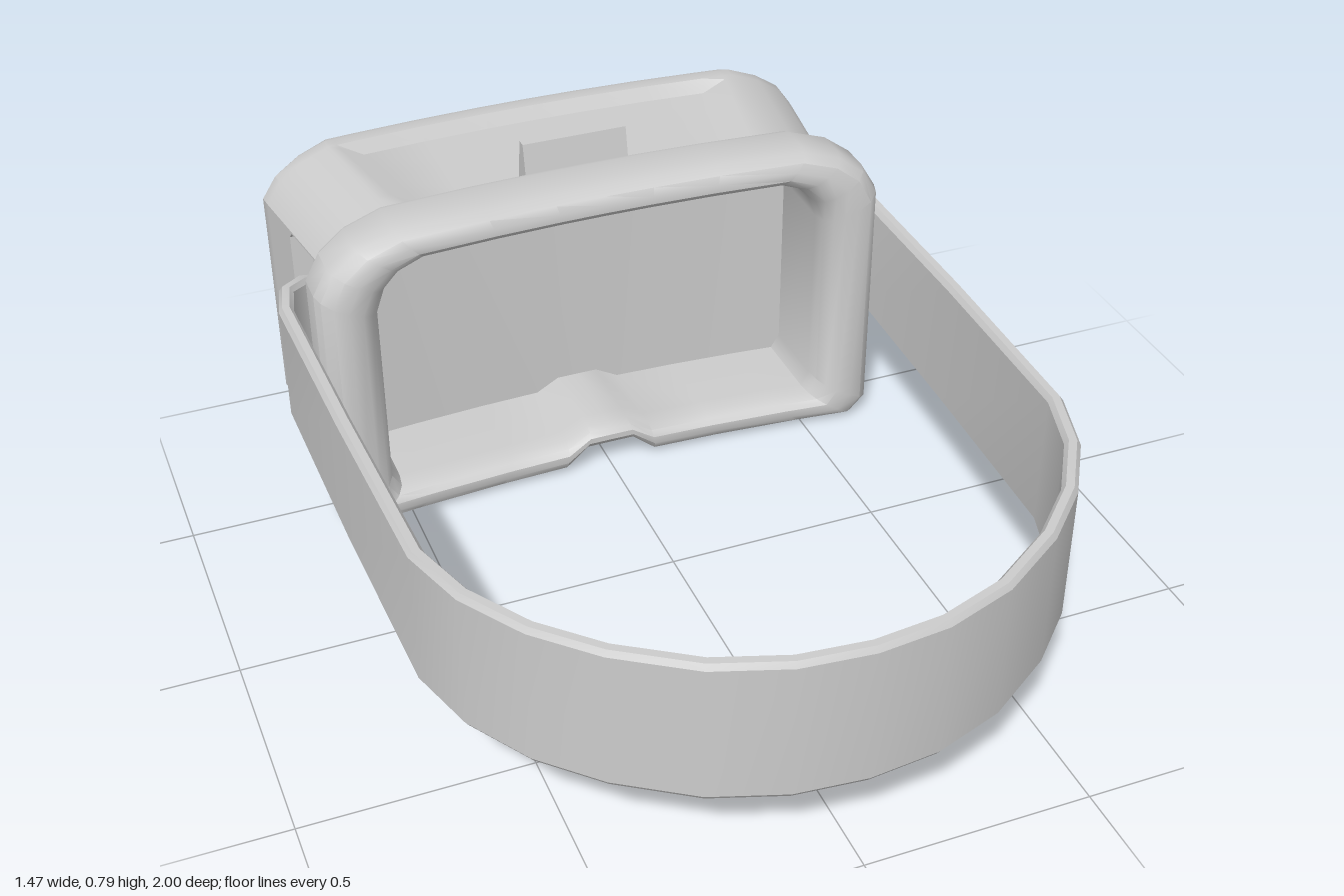
import * as THREE from 'three';
import { toCreasedNormals } from 'three/addons/utils/BufferGeometryUtils.js';

const grey = new THREE.MeshStandardMaterial({ color: 0xcccccc });
grey.name = 'light grey plastic';

// Skin a list of closed rings; capped rings are closed with a ladder of quads
function loft(rings, { capFirst = false, capLast = false } = {}) {
  const N = rings[0].length, index = [];
  for (let i = 0; i < rings.length - 1; i++) {
    for (let k = 0; k < N; k++) {
      const a = i * N + k, b = i * N + (k + 1) % N;
      index.push(a, b, a + N, b, b + N, a + N);
    }
  }
  const cap = (base, flip) => {
    const n = N / 2 + 1, h = n / 2 - 1;
    for (let k = -h; k < h; k++) {
      const t0 = base + (k + N) % N, t1 = base + (k + 1 + N) % N;
      const b0 = base + n - 1 - k, b1 = base + n - 2 - k;
      if (flip) index.push(t0, b1, t1, t0, b0, b1);
      else index.push(t0, t1, b1, t0, b1, b0);
    }
  };
  if (capFirst) cap(0, true);
  if (capLast) cap((rings.length - 1) * N, false);
  const geo = new THREE.BufferGeometry();
  geo.setAttribute('position', new THREE.Float32BufferAttribute(rings.flat(2), 3));
  geo.setIndex(index);
  return toCreasedNormals(geo, 0.6);
}

// Mirror a half outline (top centre, +x side, bottom centre) and bow it in z
function ring(half, z) {
  const left = half.slice(1, -1).reverse().map(([x, y]) => [-x, y]);
  return [...half, ...left].map(([x, y]) => [x, y, z + 0.1 * x * x]);
}

function add(group, name, geo) {
  const mesh = new THREE.Mesh(geo, grey);
  mesh.name = name;
  group.add(mesh);
  return mesh;
}

// Housing section: recess in the lid, slots in the sides, nose groove below
function housingRing([z, recess, slot, inset]) {
  const w = 0.615 + 0.06 * Math.min(1, (-0.54 - z) / 0.41) - inset;
  const rx = 0.42 + 0.07 * Math.min(1, Math.max(0, (-0.565 - z) / 0.36));
  const T = 0.72 - inset, B = 0.05 + inset * 0.9, groove = 0.1 + inset * 0.2;
  const floor = T - recess;
  return ring([
    [0, floor], [0.12, floor], [0.28, floor], [rx - 0.055, floor], [rx, T],
    [Math.max(w - 0.16, rx + 0.005), T], [w - 0.09, T - 0.025], [w - 0.035, T - 0.06], [w, T - 0.11],
    [w, 0.605 - inset], [w - slot, 0.59 - inset], [w - slot, 0.215], [w, 0.2],
    [w, B + 0.035], [w - 0.035, B], [w - 0.09, B], [0.5, B], [0.42, B], [0.28, B],
    [0.115, B], [0.06, groove], [0, groove],
  ], z);
}

// Outer and inner outlines of the face cushion
const cushionOuter = [
  [0, 0.755], [0.12, 0.755], [0.28, 0.755], [0.49, 0.755], [0.58, 0.728], [0.64, 0.685], [0.675, 0.625],
  [0.675, 0.04], [0.64, 0], [0.5, 0], [0.28, 0], [0.115, 0], [0.06, 0.05], [0, 0.05],
];
const cushionInner = [
  [0, 0.675], [0.1, 0.675], [0.25, 0.675], [0.42, 0.675], [0.475, 0.655], [0.515, 0.615], [0.535, 0.56],
  [0.535, 0.115], [0.515, 0.08], [0.42, 0.08], [0.25, 0.08], [0.105, 0.08], [0.05, 0.11], [0, 0.11],
];

function cushionRing([t, z]) {
  return ring(cushionOuter.map(([x, y], i) => [
    x + (cushionInner[i][0] - x) * t,
    y + (cushionInner[i][1] - y) * t,
  ]), z);
}

// Strap: a thin band along a mirrored path of [x, z, half height]
function strapGeometry() {
  const half = [
    [0.57, -0.725, 0.10], [0.605, -0.71, 0.11], [0.645, -0.685, 0.13], [0.695, -0.63, 0.145], [0.716, -0.54, 0.148],
    [0.708, -0.06, 0.158], [0.692, 0.42, 0.164], [0.645, 0.57, 0.166], [0.56, 0.705, 0.167],
    [0.45, 0.815, 0.167], [0.3, 0.915, 0.167], [0.15, 0.967, 0.167], [0, 0.982, 0.167],
  ];
  const path = [...half, ...half.slice(0, -1).reverse().map(([x, z, h]) => [-x, z, h])];
  const r = 0.017;
  return loft(path.map(([x, z, h], i) => {
    const p = path[Math.max(0, i - 1)], q = path[Math.min(path.length - 1, i + 1)];
    const len = Math.hypot(q[0] - p[0], q[1] - p[1]);
    const nx = (q[1] - p[1]) / len, nz = -(q[0] - p[0]) / len;
    const section = [
      [r, -h + 0.012], [r, h - 0.012], [r * 0.5, h],
      [-r * 0.5, h], [-r, h - 0.012], [-r, -h + 0.012], [-r * 0.5, -h], [r * 0.5, -h],
    ];
    return section.map(([d, y]) => [x + nx * d, 0.388 + y, z + nz * d]);
  }));
}

export function createModel() {
  const model = new THREE.Group();
  model.name = 'headset';

  // Main housing: z, lid recess, side slot, edge inset
  const sections = [
    [-0.54, 0, 0, 0], [-0.565, 0, 0, 0], [-0.585, 0.03, 0, 0], [-0.645, 0.03, 0, 0],
    [-0.66, 0.03, 0.05, 0], [-0.775, 0.03, 0.05, 0], [-0.79, 0.03, 0, 0], [-0.905, 0.03, 0, 0],
    [-0.925, 0, 0, 0], [-0.955, 0, 0, 0], [-0.985, 0, 0, 0.012], [-1, 0, 0, 0.035],
  ];
  add(model, 'housing', loft(sections.map(housingRing), { capLast: true }));

  // Padded face cushion with the eye cavity behind it
  const profile = [
    [1, -0.65], [1, -0.47], [0.96, -0.435], [0.85, -0.412], [0.68, -0.4], [0.45, -0.4],
    [0.22, -0.41], [0.06, -0.435], [0, -0.465], [0, -0.535], [0.06, -0.55], [0.9, -0.55],
  ];
  add(model, 'faceCushion', loft(profile.map(cushionRing), { capFirst: true }));

  // Tapered latch on the lid
  const latch = new THREE.BoxGeometry(0.25, 0.11, 0.062);
  const pos = latch.attributes.position;
  for (let i = 0; i < pos.count; i++) if (pos.getY(i) > 0) pos.setZ(i, pos.getZ(i) * 0.35);
  latch.computeVertexNormals();
  add(model, 'lidLatch', latch).position.set(0, 0.735, -0.625);

  // Head strap
  add(model, 'headStrap', strapGeometry());
  return model;
}
